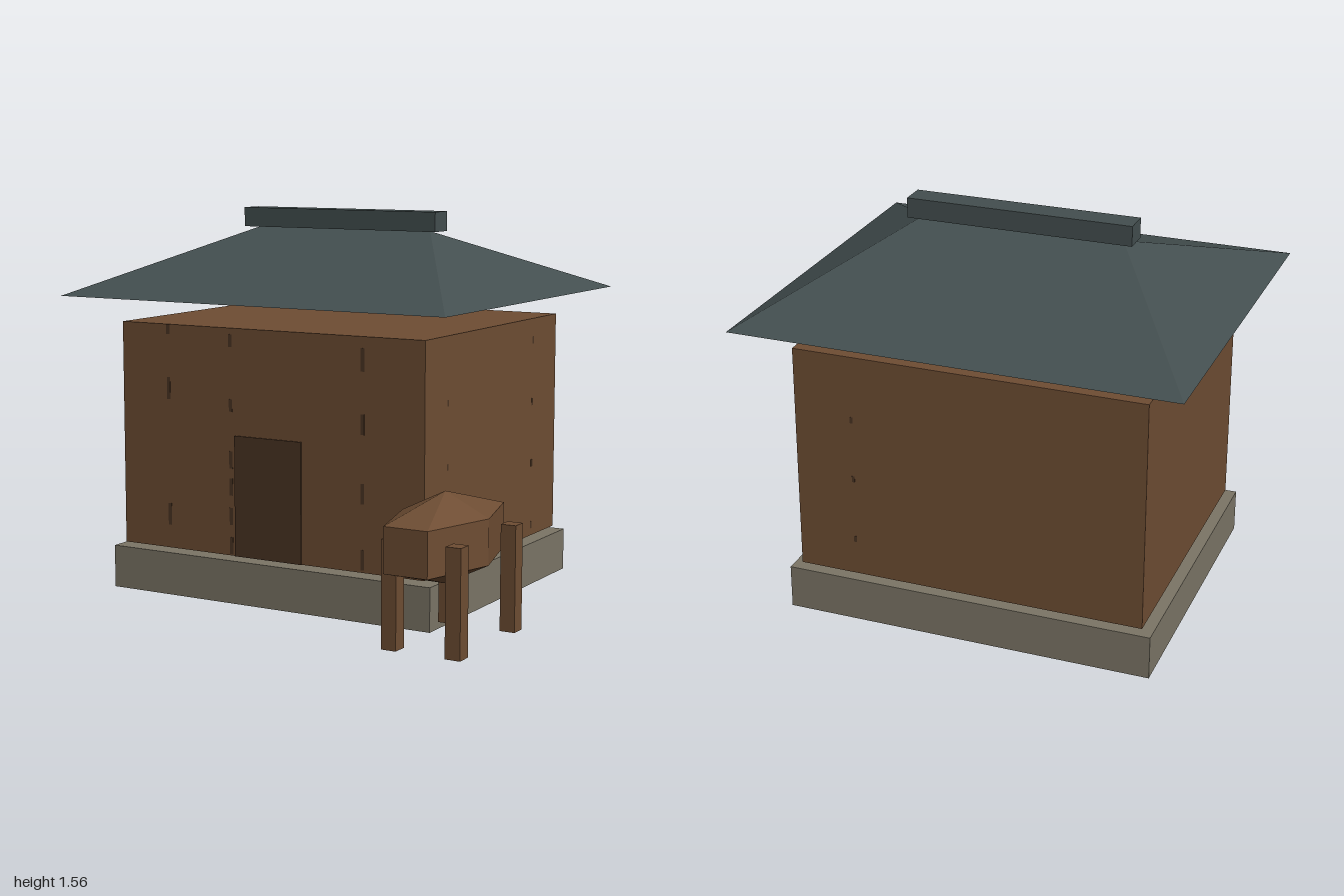
import * as THREE from 'three';

const mat = (name, color, side = THREE.FrontSide) => {
  const m = new THREE.MeshStandardMaterial({ color, side });
  m.name = name;
  return m;
};

export function createModel() {
  const model = new THREE.Group();
  model.name = 'hut';
  const wood = mat('brown wood', 0x6e4d33);
  const darkWood = mat('dark wood', 0x4a3423);
  const stone = mat('grey stone', 0x7b7566, THREE.DoubleSide);
  const slate = mat('slate roof', 0x434e4f, THREE.DoubleSide);

  const add = (name, geometry, material, x, y, z, parent = model) => {
    const mesh = new THREE.Mesh(geometry, material);
    mesh.name = name;
    mesh.position.set(x, y, z);
    parent.add(mesh);
    return mesh;
  };
  const box = (name, w, h, d, material, x, y, z, parent) =>
    add(name, new THREE.BoxGeometry(w, h, d), material, x, y, z, parent);

  // The house is centred on this point
  const cx = -0.125, cz = -0.205;

  // Plinth: a hollow box, open underneath
  const plinthShape = new THREE.BoxGeometry(1.48, 0.175, 1.24);
  const faces = Array.from(plinthShape.index.array);
  faces.splice(18, 6);
  plinthShape.setIndex(faces);
  plinthShape.clearGroups();
  add('plinth', plinthShape, stone, cx, 0.0875, cz);

  // Walls and door
  box('walls', 1.4, 0.92, 1.185, wood, cx, 0.65, cz);
  const front = cz + 0.5925;
  box('door', 0.31, 0.49, 0.008, darkWood, -0.125, 0.435, front + 0.002);

  // Dark knots showing along the board seams: [x, [y, height]...]
  const seams = new THREE.Group();
  seams.name = 'boardSeams';
  model.add(seams);
  const knot = (w, h, d, x, y, z) => box('seamKnot', w, h, d, darkWood, x, y, z, seams);
  [
    [-0.6, [1.09, 0.04], [0.85, 0.09], [0.33, 0.09]],
    [-0.3, [1.06, 0.05], [0.8, 0.05], [0.58, 0.07], [0.47, 0.07], [0.35, 0.07], [0.23, 0.07]],
    [0.305, [1.02, 0.09], [0.77, 0.08], [0.5, 0.08], [0.24, 0.08]],
  ].forEach(([x, ...marks]) => marks.forEach(([y, h]) => knot(0.016, h, 0.002, x, y, front)));
  [0.85, 0.6, 0.34].forEach((y) => {
    knot(0.002, 0.025, 0.01, cx + 0.7, y, 0.2);
    knot(0.012, 0.025, 0.002, 0.34, y, cz - 0.5925);
  });
  [1.02, 0.76, 0.5, 0.235].forEach((y) => knot(0.002, 0.03, 0.014, cx + 0.7, y, -0.57));

  // Hipped roof: eaves rectangle rising to a ridge line, open underneath
  const w = 0.875, d = 0.772, r = 0.405, rise = 0.26;
  const eaves = [[-w, 0, d], [w, 0, d], [w, 0, -d], [-w, 0, -d]];
  const left = [-r, rise, 0], right = [r, rise, 0];
  const [a, b, c, e] = eaves;
  const triangles = [
    a, b, right, a, right, left,
    b, c, right,
    c, e, left, c, left, right,
    e, a, left,
  ];
  const roofShape = new THREE.BufferGeometry();
  roofShape.setAttribute('position', new THREE.Float32BufferAttribute(triangles.flat(), 3));
  roofShape.computeVertexNormals();
  add('roof', roofShape, slate, cx, 1.22, cz);
  box('ridgeCap', 0.91, 0.08, 0.104, slate, cx, 1.52, cz);

  // Faceted wooden tub on four posts
  const tub = new THREE.Group();
  tub.name = 'tub';
  model.add(tub);
  const tubShape = new THREE.SphereGeometry(0.201, 6, 3).scale(1, 0.845, 2).toNonIndexed();
  tubShape.computeVertexNormals();
  add('tubBody', tubShape, wood, 0.81, 0.44, 0.671, tub);
  for (const x of [0.716, 0.97])
    for (const z of [0.452, 0.891]) box('tubPost', 0.06, 0.4, 0.06, wood, x, 0.267, z, tub);

  return model;
}
